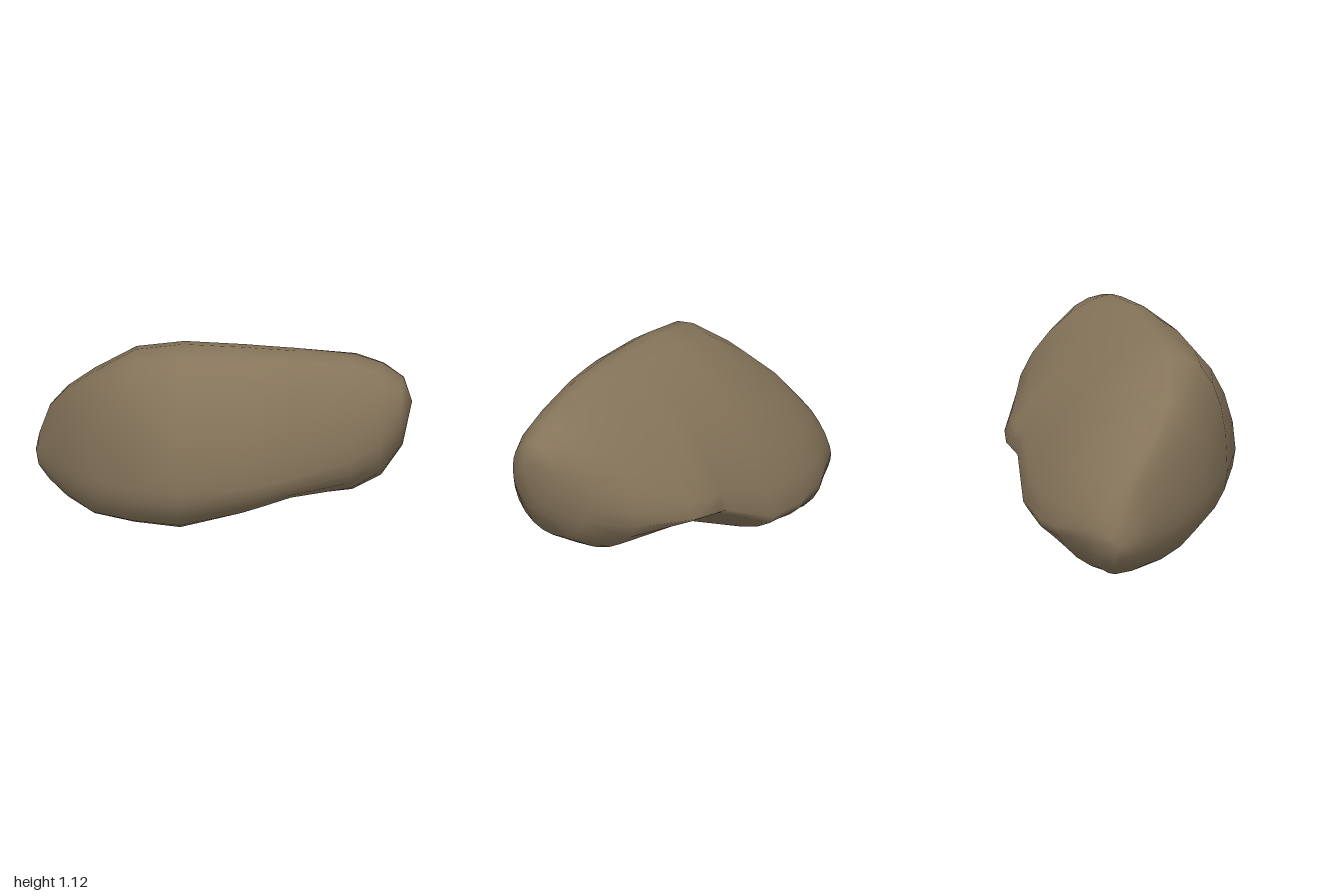
import * as THREE from 'three';

// Cross-sections along the boulder's length, each given by its four extremes
// and the fullness of three of its quadrants:
// [x, topY, topZ, backZ, backY, bottomY, bottomZ, frontZ, frontY, frontTop, backTop, backBottom]
const SECTIONS = [
  [-0.98, 0.36, -0.25, -0.32, 0.27, 0.17, -0.27, -0.17, 0.28, 1.8, 1.6, 1.6],
  [-0.92, 0.56, -0.18, -0.40, 0.30, 0.10, -0.27, -0.07, 0.32, 1.8, 1.5, 1.6],
  [-0.82, 0.74, -0.04, -0.45, 0.30, 0.04, -0.25, 0.10, 0.36, 2.0, 1.5, 1.6],
  [-0.67, 0.91, 0.09, -0.53, 0.28, 0.00, -0.20, 0.29, 0.38, 2.0, 1.5, 1.6],
  [-0.45, 1.08, 0.15, -0.57, 0.26, 0.045, -0.04, 0.46, 0.42, 2.4, 1.45, 1.8],
  [-0.20, 1.12, 0.15, -0.577, 0.27, 0.095, 0.12, 0.572, 0.46, 1.85, 1.45, 1.9],
  [0.12, 1.12, 0.16, -0.52, 0.42, 0.20, 0.13, 0.56, 0.49, 1.8, 1.4, 1.3],
  [0.22, 1.115, 0.16, -0.555, 0.46, 0.23, 0.10, 0.54, 0.50, 1.8, 1.35, 1.05],
  [0.38, 1.11, 0.16, -0.52, 0.47, 0.27, 0.02, 0.49, 0.52, 1.8, 1.35, 1.2],
  [0.69, 1.065, 0.14, -0.37, 0.57, 0.29, 0.02, 0.39, 0.58, 1.8, 1.6, 2.1],
  [0.84, 1.015, 0.13, -0.17, 0.66, 0.38, 0.07, 0.33, 0.65, 1.9, 1.9, 2.0],
  [0.95, 0.94, 0.12, -0.01, 0.77, 0.57, 0.13, 0.25, 0.76, 2.2, 2.2, 2.0],
];
const LEFT_TIP = [-1, 0.25, -0.27];
const RIGHT_TIP = [1, 0.83, 0.15];
const SIDES = 24;
const FRONT_BOTTOM = 2;

// Rounded curve joining the four extremes of one section, quadrant by quadrant
function ringPoint(section, j) {
  const [x, topY, topZ, backZ, backY, bottomY, bottomZ, frontZ, frontY, frontTop, backTop, backBottom] = section;
  const a = (j / SIDES) * Math.PI * 2;
  const c = Math.cos(a), s = Math.sin(a);
  const front = c >= 0, top = s >= 0;
  const fullness = front ? (top ? frontTop : FRONT_BOTTOM) : (top ? backTop : backBottom);
  const u = Math.pow(Math.abs(c), 2 / fullness);
  const v = Math.pow(Math.abs(s), 2 / fullness);
  const sideZ = front ? frontZ : backZ;
  const sideY = front ? frontY : backY;
  const poleY = top ? topY : bottomY;
  const poleZ = top ? topZ : bottomZ;
  return [x, sideY + (poleY - sideY) * v, poleZ + (sideZ - poleZ) * u];
}

function boulderGeometry() {
  const positions = [];
  const index = [];
  for (const section of SECTIONS) {
    for (let j = 0; j < SIDES; j++) positions.push(...ringPoint(section, j));
  }
  const last = SECTIONS.length - 1;
  const leftTip = SECTIONS.length * SIDES;
  const rightTip = leftTip + 1;
  positions.push(...LEFT_TIP, ...RIGHT_TIP);

  for (let j = 0; j < SIDES; j++) {
    const k = (j + 1) % SIDES;
    // Skin between neighbouring sections
    for (let i = 0; i < last; i++) {
      const a = i * SIDES + j, b = a + SIDES;
      const d = i * SIDES + k, c = d + SIDES;
      index.push(a, b, c, a, c, d);
    }
    // Blunt ends
    index.push(leftTip, j, k);
    index.push(rightTip, last * SIDES + k, last * SIDES + j);
  }

  const geometry = new THREE.BufferGeometry();
  geometry.setAttribute('position', new THREE.Float32BufferAttribute(positions, 3));
  geometry.setIndex(index);
  geometry.computeVertexNormals();
  return geometry;
}

export function createModel() {
  const stone = new THREE.MeshStandardMaterial({ color: 0x85745a });
  stone.name = 'brown stone';

  const boulder = new THREE.Mesh(boulderGeometry(), stone);
  boulder.name = 'boulder';

  const group = new THREE.Group();
  group.name = 'rock';
  group.add(boulder);
  return group;
}
